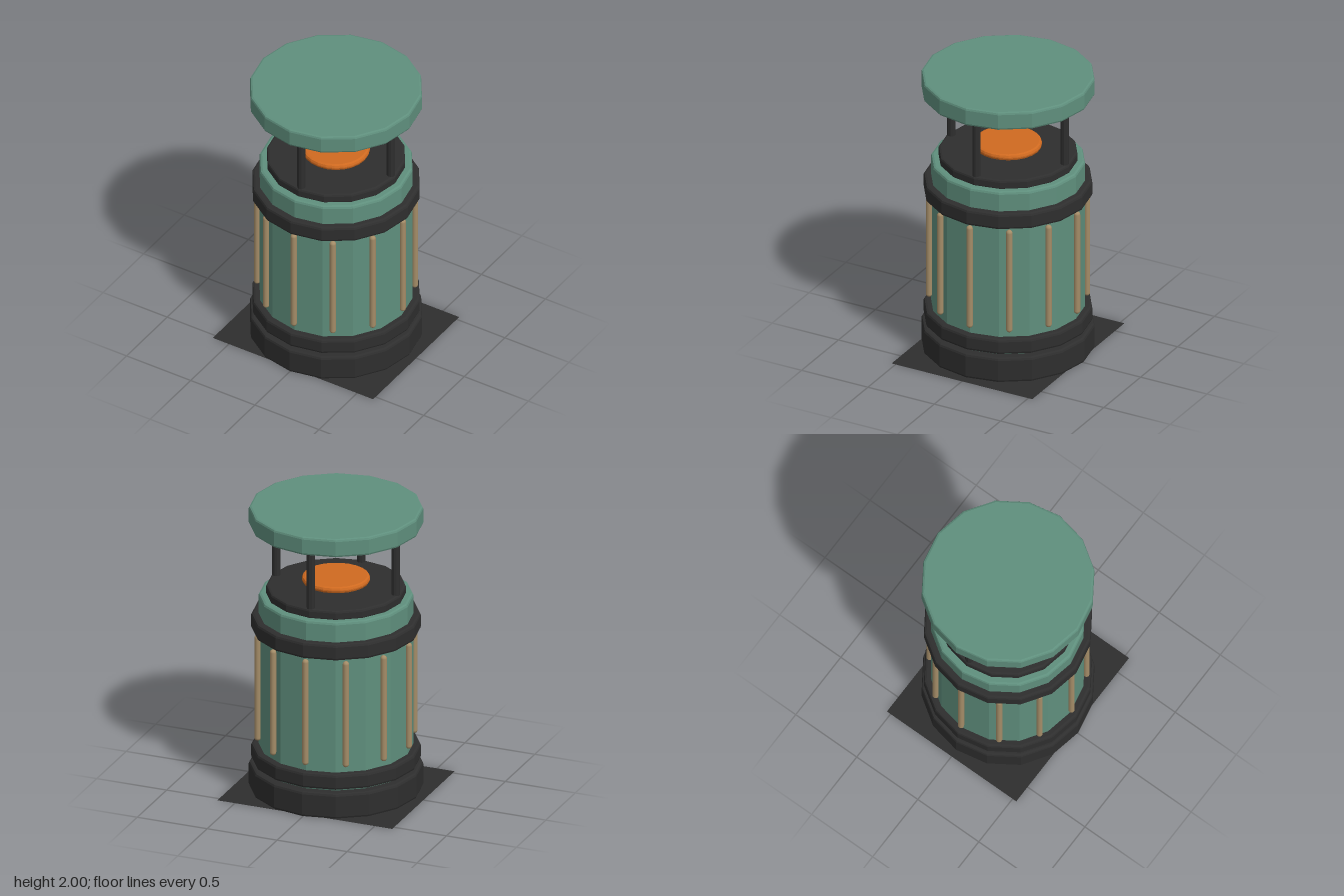
import * as THREE from 'three';

const material = (name, color, extra = {}) => {
  const m = new THREE.MeshStandardMaterial({ color, ...extra });
  m.name = name;
  return m;
};

// Faceted disc or drum with softly rounded rims
function drum(name, radius, bottom, top, bevel, mat, sides = 16) {
  const points = [new THREE.Vector2(0, bottom)];
  for (let i = 0; i <= 2; i++) {
    const a = (i / 2) * Math.PI / 2;
    points.push(new THREE.Vector2(radius - bevel + bevel * Math.sin(a), bottom + bevel - bevel * Math.cos(a)));
  }
  for (let i = 0; i <= 2; i++) {
    const a = (i / 2) * Math.PI / 2;
    points.push(new THREE.Vector2(radius - bevel + bevel * Math.cos(a), top - bevel + bevel * Math.sin(a)));
  }
  points.push(new THREE.Vector2(0, top));
  let geometry = new THREE.LatheGeometry(points, sides).toNonIndexed();
  geometry.computeVertexNormals();
  const mesh = new THREE.Mesh(geometry, mat);
  mesh.name = name;
  return mesh;
}

export function createModel() {
  const green = material('sage green', 0x5f8f7d, { flatShading: true });
  const dark = material('charcoal', 0x2e2e2e, { flatShading: true });
  const darkSheet = material('charcoal', 0x2e2e2e, { side: THREE.DoubleSide });
  darkSheet.name = 'charcoal sheet';
  const orange = material('burnt orange', 0xd06a20);
  const tan = material('tan', 0xa58d68);
  const model = new THREE.Group();

  // Flat ground plate
  const plate = new THREE.Mesh(new THREE.PlaneGeometry(1.25, 1.06).rotateX(-Math.PI / 2), darkSheet);
  plate.name = 'groundPlate';
  model.add(plate);

  // Stacked body, from the foot to the roof
  model.add(
    drum('base', 0.575, 0, 0.18, 0.018, dark),
    drum('body', 0.512, 0.17, 1.38, 0.018, green),
    drum('lowerBand', 0.56, 0.2, 0.31, 0.018, dark),
    drum('upperBand', 0.56, 1.125, 1.24, 0.018, dark),
    drum('burnerDeck', 0.462, 1.37, 1.44, 0.015, dark),
    drum('glowDisc', 0.225, 1.464, 1.508, 0.018, orange, 24),
    drum('roof', 0.575, 1.87, 2, 0.016, green),
  );

  // Twelve rounded vertical ribs around the body
  const ribs = new THREE.Group();
  ribs.name = 'ribs';
  const ribGeometry = new THREE.CapsuleGeometry(0.022, 0.712, 4, 10);
  for (let i = 0; i < 12; i++) {
    const a = (i / 12) * Math.PI * 2;
    const rib = new THREE.Mesh(ribGeometry, tan);
    rib.name = 'rib';
    rib.position.set(Math.sin(a) * 0.52, 0.73, Math.cos(a) * 0.52);
    ribs.add(rib);
  }
  model.add(ribs);

  // Four posts holding up the roof
  const posts = new THREE.Group();
  posts.name = 'posts';
  const postGeometry = new THREE.CylinderGeometry(0.028, 0.028, 0.46, 10);
  for (let i = 0; i < 4; i++) {
    const a = (i / 4) * Math.PI * 2;
    const post = new THREE.Mesh(postGeometry, dark);
    post.name = 'post';
    post.position.set(Math.sin(a) * 0.427, 1.65, Math.cos(a) * 0.427);
    posts.add(post);
  }
  model.add(posts);

  return model;
}
